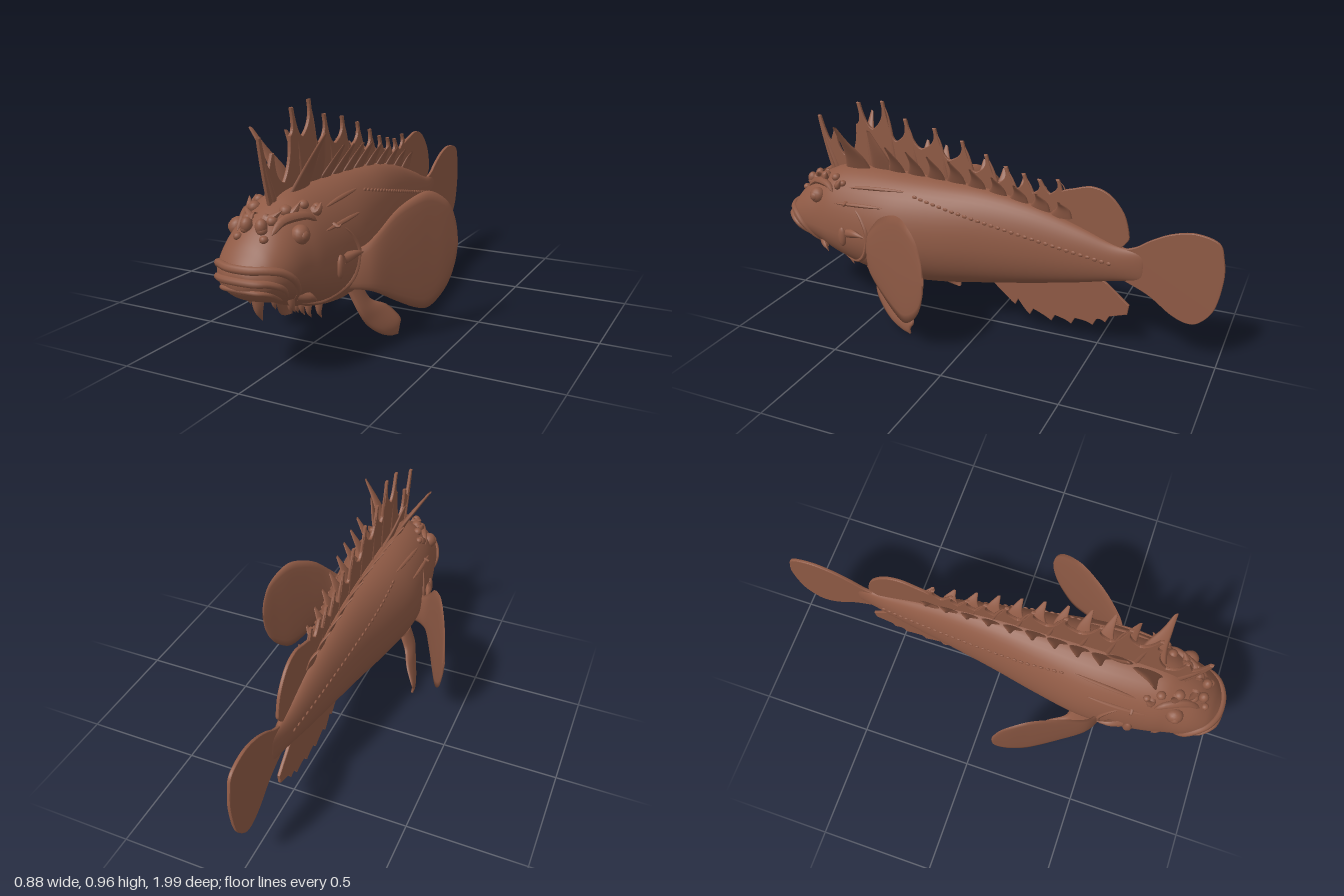
import * as THREE from 'three';
import { mergeVertices } from 'three/addons/utils/BufferGeometryUtils.js';

const V = (x, y, z) => new THREE.Vector3(x, y, z);
const spline = (pts) => new THREE.CatmullRomCurve3(pts, false, 'catmullrom', 0.5);

// Body sections from snout to tail: z, bottom, top, half width, height of widest point
const SECTIONS = [
  [0.99, 0.395, 0.405, 0.002, 0.4], [0.982, 0.36, 0.435, 0.05, 0.4], [0.955, 0.33, 0.475, 0.1, 0.4],
  [0.92, 0.312, 0.52, 0.13, 0.4], [0.86, 0.29, 0.575, 0.154, 0.4], [0.78, 0.262, 0.622, 0.17, 0.395],
  [0.7, 0.225, 0.652, 0.187, 0.39], [0.55, 0.178, 0.662, 0.203, 0.38], [0.4, 0.16, 0.66, 0.203, 0.38],
  [0.2, 0.17, 0.65, 0.17, 0.39], [0, 0.2, 0.635, 0.13, 0.4], [-0.2, 0.235, 0.595, 0.095, 0.4],
  [-0.4, 0.275, 0.53, 0.062, 0.395], [-0.55, 0.31, 0.475, 0.035, 0.39], [-0.66, 0.33, 0.455, 0.012, 0.39],
  [-0.68, 0.34, 0.44, 0.002, 0.39],
];
const curveA = spline(SECTIONS.map((s) => V(s[0], s[1], s[2])));
const curveB = spline(SECTIONS.map((s) => V(s[0], s[3], s[4])));
const sectionAt = (u) => {
  const a = curveA.getPoint(u), b = curveB.getPoint(u);
  return { z: a.x, bottom: a.y, top: a.z, w: b.y, c: b.z };
};

// Point on the body's left flank at a given z and y, pushed out by off
function onBody(z, y, off = 0) {
  let lo = 0, hi = 1;
  for (let i = 0; i < 24; i++) {
    const mid = (lo + hi) / 2;
    if (sectionAt(mid).z > z) lo = mid; else hi = mid;
  }
  const s = sectionAt(lo);
  const k = (y - s.c) / (y > s.c ? s.top - s.c : s.c - s.bottom);
  return V(s.w * Math.sqrt(Math.max(0, 1 - k * k)) + off, y, z);
}

// Smooth surface from a rule f(u, v)
function grid(f, nu, nv) {
  const pos = [], index = [];
  for (let i = 0; i <= nu; i++) for (let j = 0; j <= nv; j++) pos.push(...f(i / nu, j / nv).toArray());
  for (let i = 0; i < nu; i++) for (let j = 0; j < nv; j++) {
    const a = i * (nv + 1) + j, b = a + nv + 1;
    index.push(a, b, b + 1, a, b + 1, a + 1);
  }
  let g = new THREE.BufferGeometry();
  g.setAttribute('position', new THREE.Float32BufferAttribute(pos, 3));
  g.setIndex(index);
  g = mergeVertices(g, 1e-5);
  g.computeVertexNormals();
  return g;
}

// Lens-section blade between two edges; each row is [edgeA, edgeB]
function blade(rows, thick, nu = 28) {
  const A = spline(rows.map((r) => V(...r[0]))), B = spline(rows.map((r) => V(...r[1])));
  const mid = Math.floor(rows.length / 2);
  const n = V(...rows.at(-1)[0]).sub(V(...rows[0][0]))
    .cross(V(...rows[mid][1]).sub(V(...rows[mid][0]))).normalize();
  return grid((u, v) => {
    const s = v < 0.5 ? v * 2 : 2 - v * 2;
    const h = thick * (1 - 0.65 * u) * Math.sqrt(Math.max(0, Math.sin(Math.PI * s))) * (v < 0.5 ? 1 : -1);
    return A.getPoint(u).lerp(B.getPoint(u), s).addScaledVector(n, h);
  }, nu, 24);
}

// Round tube that thins toward its end (or both ends)
function taper(pts, r, bothEnds = false, segs = 14) {
  const curve = spline(pts), g = new THREE.TubeGeometry(curve, segs, r, 8);
  const p = g.attributes.position, v = V(0, 0, 0);
  for (let i = 0; i < p.count; i++) {
    const t = Math.floor(i / 9) / segs;
    const k = bothEnds ? 1 - Math.sqrt(Math.max(0, Math.sin(Math.PI * t))) : t ** 1.5 * 0.95;
    v.fromBufferAttribute(p, i).lerp(curve.getPointAt(t), k);
    p.setXYZ(i, v.x, v.y, v.z);
  }
  g.computeVertexNormals();
  return g;
}

// Flat fin on the centre plane from (z, y) outline points
function flatFin(shape, thick) {
  const g = new THREE.ExtrudeGeometry(shape, {
    depth: thick * 0.4, bevelEnabled: true, bevelSize: 0.003, bevelThickness: thick * 0.3, bevelSegments: 2, curveSegments: 10,
  });
  return g.translate(0, 0, -thick * 0.2).rotateY(-Math.PI / 2);
}
const splineShape = (pts) => {
  const s = new THREE.Shape().moveTo(...pts[0]);
  s.splineThru(pts.slice(1).map((p) => new THREE.Vector2(...p)));
  return s;
};

export function createModel() {
  const model = new THREE.Group();
  model.name = 'spinyFish';
  const skin = new THREE.MeshStandardMaterial({ color: 0x8f5a45, side: THREE.DoubleSide });
  skin.name = 'reddish brown skin';
  const add = (name, geo, parent = model) => {
    const m = new THREE.Mesh(geo, skin);
    m.name = name;
    parent.add(m);
    return m;
  };

  add('body', grid((u, v) => {
    const s = sectionAt(u), a = v * Math.PI * 2, c = Math.cos(a);
    return V(-s.w * Math.sin(a), s.c + c * (c > 0 ? s.top - s.c : s.c - s.bottom), s.z);
  }, 100, 48));

  // Spiny dorsal fin: forward crest, then spine tips with scalloped membrane between them
  const tips = [[0.63, 0.94], [0.51, 0.957], [0.4, 0.89], [0.26, 0.865], [0.13, 0.825], [0.02, 0.78],
    [-0.07, 0.74], [-0.15, 0.72], [-0.22, 0.705], [-0.3, 0.715]];
  const dorsal = new THREE.Shape().moveTo(0.78, 0.6);
  dorsal.quadraticCurveTo(0.82, 0.73, 0.843, 0.86);
  dorsal.lineTo(0.833, 0.86);
  dorsal.quadraticCurveTo(0.805, 0.76, 0.785, 0.745);
  dorsal.lineTo(0.765, 0.795);
  dorsal.lineTo(0.755, 0.795);
  dorsal.quadraticCurveTo(0.75, 0.69, 0.69, 0.68);
  dorsal.quadraticCurveTo(0.64, 0.74, 0.645, 0.84);
  tips.forEach(([z, y], i) => {
    const next = tips[i + 1] || [-0.34, 0.67];
    const drop = 0.14 - i * 0.009;
    const low = Math.min(y, next[1]) - drop * 0.8, mz = (z + next[0]) / 2;
    dorsal.quadraticCurveTo(z - 0.02, y - drop * 0.6, z + 0.006, y);
    dorsal.lineTo(z - 0.004, y);
    dorsal.quadraticCurveTo(z - 0.035, low, mz - 0.01, low);
  });
  dorsal.lineTo(-0.33, 0.52);
  dorsal.lineTo(0, 0.6);
  add('spinyDorsalFin', flatFin(dorsal, 0.014));
  tips.forEach(([z, y], i) => add('dorsalSpine', taper(
    [V(0, 0.64 - Math.max(0, 0.1 - z) * 0.2, z - 0.06), V(0, y - 0.09 + i * 0.006, z - 0.03), V(0, y, z)], 0.013 - i * 0.0006)));
  add('crestSpine', taper([V(0, 0.63, 0.76), V(0, 0.75, 0.806), V(0, 0.865, 0.84)], 0.015));

  add('softDorsalFin', flatFin(splineShape([[-0.24, 0.55], [-0.3, 0.655], [-0.38, 0.69], [-0.45, 0.705], [-0.52, 0.68],
    [-0.58, 0.61], [-0.605, 0.53], [-0.6, 0.495], [-0.55, 0.46], [-0.4, 0.48]]), 0.014));
  add('tailFin', flatFin(splineShape([[-0.57, 0.45], [-0.64, 0.475], [-0.7, 0.515], [-0.78, 0.555], [-0.87, 0.573], [-0.96, 0.55],
    [-0.985, 0.49], [-0.993, 0.4], [-0.97, 0.27], [-0.92, 0.2], [-0.87, 0.184], [-0.8, 0.21], [-0.7, 0.28], [-0.57, 0.335]]), 0.014));

  // Anal fin with notched lower edge
  const anal = new THREE.Shape().moveTo(0.02, 0.25);
  anal.lineTo(-0.02, 0.2);
  const points = [[-0.12, 0.115], [-0.19, 0.08], [-0.29, 0.07], [-0.38, 0.075], [-0.475, 0.09], [-0.53, 0.115]];
  points.forEach(([z, y]) => {
    anal.quadraticCurveTo(z + 0.02, y + 0.015, z, y);
    anal.lineTo(z - 0.015, y + 0.03);
  });
  [[-0.62, 0.17], [-0.625, 0.21], [-0.53, 0.29], [-0.45, 0.34]].forEach((p) => anal.lineTo(...p));
  add('analFin', flatFin(anal, 0.014));

  // Lips and chin wrap across both sides
  const lip = (name, half, r) => {
    const pts = half.map(([z, y]) => onBody(z, y));
    const left = pts.slice().reverse().map((p) => V(-p.x, p.y, p.z));
    add(name, taper([...left, ...pts], r, true, 48));
  };
  lip('upperLip', [[0.974, 0.44], [0.945, 0.44], [0.905, 0.425], [0.86, 0.385], [0.82, 0.33], [0.79, 0.29]], 0.016);
  lip('lowerLip', [[0.98, 0.4], [0.95, 0.395], [0.905, 0.37], [0.85, 0.32]], 0.015);
  lip('chinFold', [[0.972, 0.365], [0.94, 0.355], [0.895, 0.33], [0.84, 0.3]], 0.01);
  add('chinBarbel', taper([V(0, 0.31, 0.87), V(0, 0.26, 0.865), V(0, 0.215, 0.845)], 0.024));

  // Everything paired is built once per side
  for (const side of [1, -1]) {
    const half = new THREE.Group();
    half.name = side > 0 ? 'leftSide' : 'rightSide';
    half.scale.x = side;
    model.add(half);
    const put = (name, geo) => add(name, geo, half);
    const ball = (name, p, sx, sy, sz) => {
      const m = put(name, new THREE.SphereGeometry(1, 14, 10));
      m.position.copy(p);
      m.scale.set(sx, sy, sz);
    };

    // Pectoral fin rows: x, z, top, bottom
    put('pectoralFin', blade([[0.16, 0.51, 0.41, 0.25], [0.21, 0.487, 0.42, 0.25], [0.25, 0.452, 0.465, 0.235], [0.295, 0.375, 0.545, 0.185],
      [0.34, 0.29, 0.59, 0.137], [0.37, 0.232, 0.597, 0.125], [0.4, 0.175, 0.565, 0.165], [0.42, 0.135, 0.52, 0.22],
      [0.433, 0.11, 0.45, 0.29], [0.437, 0.103, 0.39, 0.35]].map(([x, z, t, b]) => [[x, t, z], [x, b, z]]), 0.015, 40));
    put('pelvicFin', blade([[[0.15, 0.23, 0.49], [0.15, 0.23, 0.38]], [[0.185, 0.15, 0.475], [0.18, 0.17, 0.36]],
      [[0.205, 0.09, 0.44], [0.215, 0.13, 0.29]], [[0.23, 0.04, 0.38], [0.255, 0.07, 0.25]],
      [[0.245, 0.012, 0.32], [0.26, 0.035, 0.265]], [[0.25, 0.003, 0.28], [0.255, 0.006, 0.268]]], 0.017));

    // Splayed spines beside the dorsal fin, shrinking toward the tail
    put('splayedSpine', blade([[[0.02, 0.63, 0.7], [0.02, 0.63, 0.56]], [[0.065, 0.72, 0.675], [0.06, 0.71, 0.58]],
      [[0.115, 0.8, 0.668], [0.11, 0.79, 0.625]], [[0.16, 0.866, 0.665], [0.153, 0.86, 0.65]]], 0.013));
    put('splayedSpine', blade([[[0.01, 0.64, 0.57], [0.01, 0.64, 0.44]], [[0.05, 0.74, 0.55], [0.05, 0.74, 0.48]],
      [[0.085, 0.845, 0.545], [0.08, 0.84, 0.53]]], 0.012));
    for (let i = 0; i < 9; i++) {
      const z = 0.44 - i * 0.095, k = 1 - i * 0.075, y = 0.65 - Math.max(0, 0.15 - z) * 0.15;
      put('sideFlap', blade([[[0.01, y - 0.02, z + 0.055], [0.01, y - 0.02, z - 0.05]],
        [[0.055 * k, y + 0.065 * k, z + 0.015], [0.055 * k, y + 0.055 * k, z - 0.04]],
        [[0.11 * k, y + 0.14 * k, z + 0.006], [0.11 * k, y + 0.135 * k, z - 0.006]]], 0.008, 10));
    }

    // Eyes, brows and head knobs
    ball('eye', onBody(0.79, 0.53, -0.005), 0.034, 0.036, 0.038);
    ball('pupil', onBody(0.795, 0.53, 0.016), 0.017, 0.021, 0.022);
    put('browRidge', taper([onBody(0.88, 0.54), onBody(0.82, 0.58, 0.008), onBody(0.74, 0.585, 0.004), onBody(0.7, 0.56)], 0.018, true));
    [[0.88, 0.555, 0.02], [0.9, 0.53, 0.016], [0.84, 0.58, 0.022], [0.78, 0.605, 0.024], [0.71, 0.615, 0.02], [0.66, 0.6, 0.016]]
      .forEach(([z, y, r]) => ball('headKnob', onBody(z, y), r, r * 0.9, r));
    [[0.84, 0.585, 0.615], [0.77, 0.6, 0.635], [0.68, 0.59, 0.62]].forEach(([z, y, ty]) =>
      put('headSpine', taper([onBody(z, y, -0.01), onBody(z, y, 0.008), onBody(z - 0.02, y, 0.012).setY(ty)], 0.02)));
    ball('nostrilFlap', V(0.03, 0.568, 0.88), 0.022, 0.028, 0.022);

    // Cheek, gill cover and flank details
    put('gillEdge', taper([onBody(0.58, 0.52, -0.004), onBody(0.53, 0.47, -0.004), onBody(0.5, 0.4, -0.004), onBody(0.53, 0.3, -0.004),
      onBody(0.62, 0.24, -0.004), onBody(0.72, 0.25, -0.004)], 0.012, true, 32));
    put('cheekSpine', taper([onBody(0.78, 0.31, -0.02), onBody(0.76, 0.3, 0.015), onBody(0.74, 0.285, 0.035)], 0.024));
    ball('cheekFlap', onBody(0.63, 0.38), 0.014, 0.045, 0.02);
    put('gillSpine', taper([onBody(0.6, 0.4, -0.01), onBody(0.55, 0.41, 0.012), onBody(0.5, 0.405, 0.018)], 0.022));
    put('templeRidge', taper([onBody(0.68, 0.52), onBody(0.55, 0.53), onBody(0.43, 0.535)], 0.009, true));
    put('templeRidge', taper([onBody(0.62, 0.59), onBody(0.52, 0.6), onBody(0.35, 0.605)], 0.009, true));
    put('templeTassel', taper([onBody(0.62, 0.53, -0.005), onBody(0.62, 0.525, 0.015), onBody(0.61, 0.535, 0.024)], 0.01));
    for (let i = 0; i < 30; i++) {
      const t = i / 29;
      ball('lateralLineScale', onBody(0.3 - t * 0.84, 0.59 - t * 0.19), 0.005, 0.008, 0.011);
    }

    // Short skin tags under the throat and jaw
    [[0.04, 0.6, 0.145], [0.05, 0.54, 0.125], [0.025, 0.5, 0.13], [0.06, 0.68, 0.185]].forEach(([x, z, y]) =>
      put('throatTag', taper([V(x, y + 0.08, z), V(x, y + 0.03, z), V(x + 0.003, y, z - 0.015)], 0.018)));
    put('jawTag', taper([V(0.09, 0.31, 0.8), V(0.092, 0.27, 0.795), V(0.095, 0.24, 0.78)], 0.016));
  }
  return model;
}
